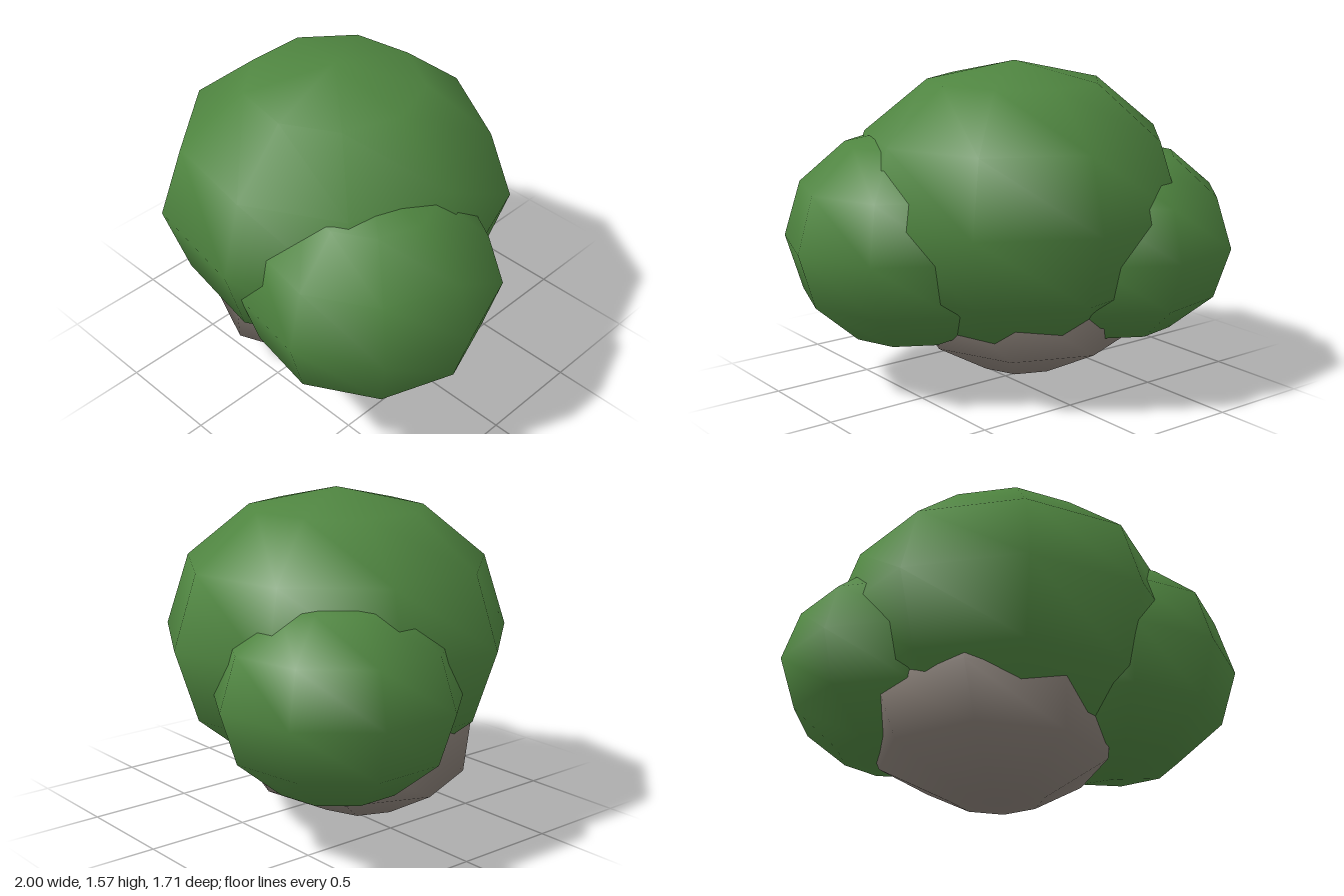
import * as THREE from 'three';

export function createModel() {
  const group = new THREE.Group();
  const leafGreen = new THREE.MeshStandardMaterial({ color: 0x4f8540 });
  leafGreen.name = 'leafGreen';
  const stoneGrey = new THREE.MeshStandardMaterial({ color: 0x8a8078 });
  stoneGrey.name = 'stoneGrey';

  // Foliage clumps: one squashed nine-sided sphere, first corner facing +x
  const clumpShape = new THREE.SphereGeometry(1, 9, 6, Math.PI);
  const clump = (name, position, radius, height) => {
    const mesh = new THREE.Mesh(clumpShape, leafGreen);
    mesh.name = name;
    mesh.position.set(...position);
    mesh.scale.set(radius, height, radius);
    group.add(mesh);
  };
  clump('mainFoliage', [-0.07, 0.88, 0.02], 0.84, 0.69);
  clump('frontLeftFoliage', [0.39, 0.73, 0.25], 0.61, 0.535);
  clump('backRightFoliage', [-0.45, 0.7, -0.285], 0.585, 0.49);

  // Rounded base, its underside leaning slightly forwards
  const profile = [[0, 0], [0.36, 0.02], [0.88, 0.2], [1, 0.48], [0.88, 0.72], [0, 0.9]]
    .map(([r, y]) => new THREE.Vector2(r, y));
  const baseShape = new THREE.LatheGeometry(profile, 8);
  const p = baseShape.attributes.position;
  for (let i = 0; i < p.count; i++) {
    p.setZ(i, p.getZ(i) + 0.17 * Math.max(0, 0.48 - p.getY(i)) / 0.48);
  }
  const base = new THREE.Mesh(baseShape, stoneGrey);
  base.name = 'base';
  base.position.set(-0.17, 0, 0);
  base.scale.set(0.6, 1, 0.6);
  group.add(base);

  return group;
}
